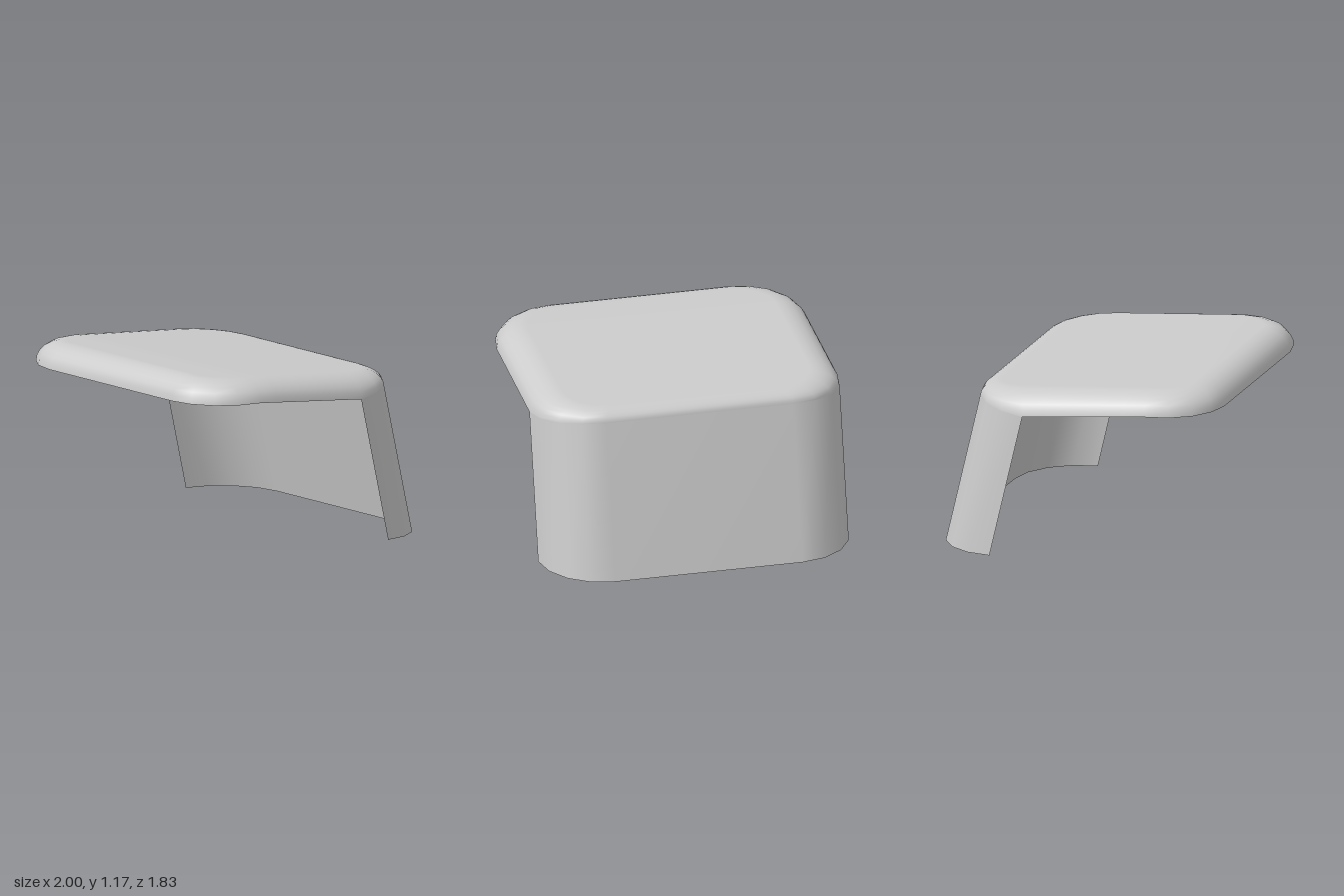
import * as THREE from 'three';

const CORNER = 4, SIDE = 6, RIM = 6;
const lerp = THREE.MathUtils.lerp;

// Heights of the rim edge and of the crown along the depth of the seat
const rimY = z => z > 0.53 ? 1.027
  : z > -0.29 ? lerp(0.94, 1.027, (z + 0.29) / 0.82)
  : lerp(0.94, 0.985, (-0.29 - z) / 0.395);
const crownY = z => z > 0.5 ? lerp(1.16, 1.171, Math.min(1, (z - 0.5) / 0.25))
  : lerp(1.06, 1.16, (z + 0.6) / 1.1);

// Right half of a rounded rectangle, from the back round to the front, as [x, z]
function halfOutline(w, back, front, r) {
  const pts = [];
  for (let i = 0; i <= CORNER; i++) {
    const a = i / CORNER * Math.PI / 2;
    pts.push([w - r + r * Math.sin(a), back + r - r * Math.cos(a)]);
  }
  for (let i = 1; i < SIDE; i++) pts.push([w, lerp(back + r, front - r, i / SIDE)]);
  for (let i = 0; i <= CORNER; i++) {
    const a = i / CORNER * Math.PI / 2;
    pts.push([w - r + r * Math.cos(a), front - r + r * Math.sin(a)]);
  }
  return pts;
}
const mirrored = pts => pts.map(([x, ...rest]) => [-x, ...rest]).reverse();

// Joins rows of points, lowest first, into a smooth sheet; optionally closes and caps it
function sheet(name, rows, closed) {
  const n = rows[0].length, index = [];
  for (let j = 0; j < rows.length - 1; j++) {
    for (let i = 0; i < (closed ? n : n - 1); i++) {
      const k = (i + 1) % n;
      const a = j * n + i, b = j * n + k, c = b + n, d = a + n;
      index.push(a, d, b, b, d, c);
    }
  }
  if (closed) {
    const o = (rows.length - 1) * n;
    for (let i = 0; i < n / 2 - 1; i++) {
      const r0 = o + i, r1 = r0 + 1, l0 = o + n - 1 - i, l1 = l0 - 1;
      index.push(l0, l1, r0, r0, l1, r1);
    }
  }
  const geo = new THREE.BufferGeometry();
  geo.setAttribute('position', new THREE.Float32BufferAttribute(rows.flat(2), 3));
  geo.setIndex(index);
  geo.computeVertexNormals();
  const mesh = new THREE.Mesh(geo, new THREE.MeshStandardMaterial({ color: 0xcccccc, side: THREE.DoubleSide }));
  mesh.name = name;
  return mesh;
}

export function createModel() {
  const group = new THREE.Group();
  group.name = 'shellStool';

  // Seat: rounded rim rising to a gently sloping crown, open underneath
  const outer = halfOutline(1, -0.685, 0.918, 0.396);
  const inner = halfOutline(0.8, -0.585, 0.75, 0.25);
  const rows = [];
  for (let j = 0; j <= RIM; j++) {
    const a = j / RIM * Math.PI / 2;
    const half = outer.map(([x, z], i) => {
      const t = 1 - Math.cos(a);
      const pz = lerp(z, inner[i][1], t);
      return [lerp(x, inner[i][0], t), lerp(rimY(z), crownY(pz), Math.sin(a)), pz];
    });
    rows.push([...half, ...mirrored(half)]);
  }
  group.add(sheet('seat', rows, true));

  // Back leg: a thin wall following the back of the rim, leaning rearwards to the floor
  const top = rows[0].slice(0, CORNER + 1);
  const foot = top.map(([x, y, z]) => {
    const fy = 0.01 * (z + 0.685) / 0.396;
    return [x, fy, z - 0.235 * (y - fy)];
  });
  group.add(sheet('backLeg', [foot, top].map(h => [...mirrored(h), ...h]), false));

  return group;
}
